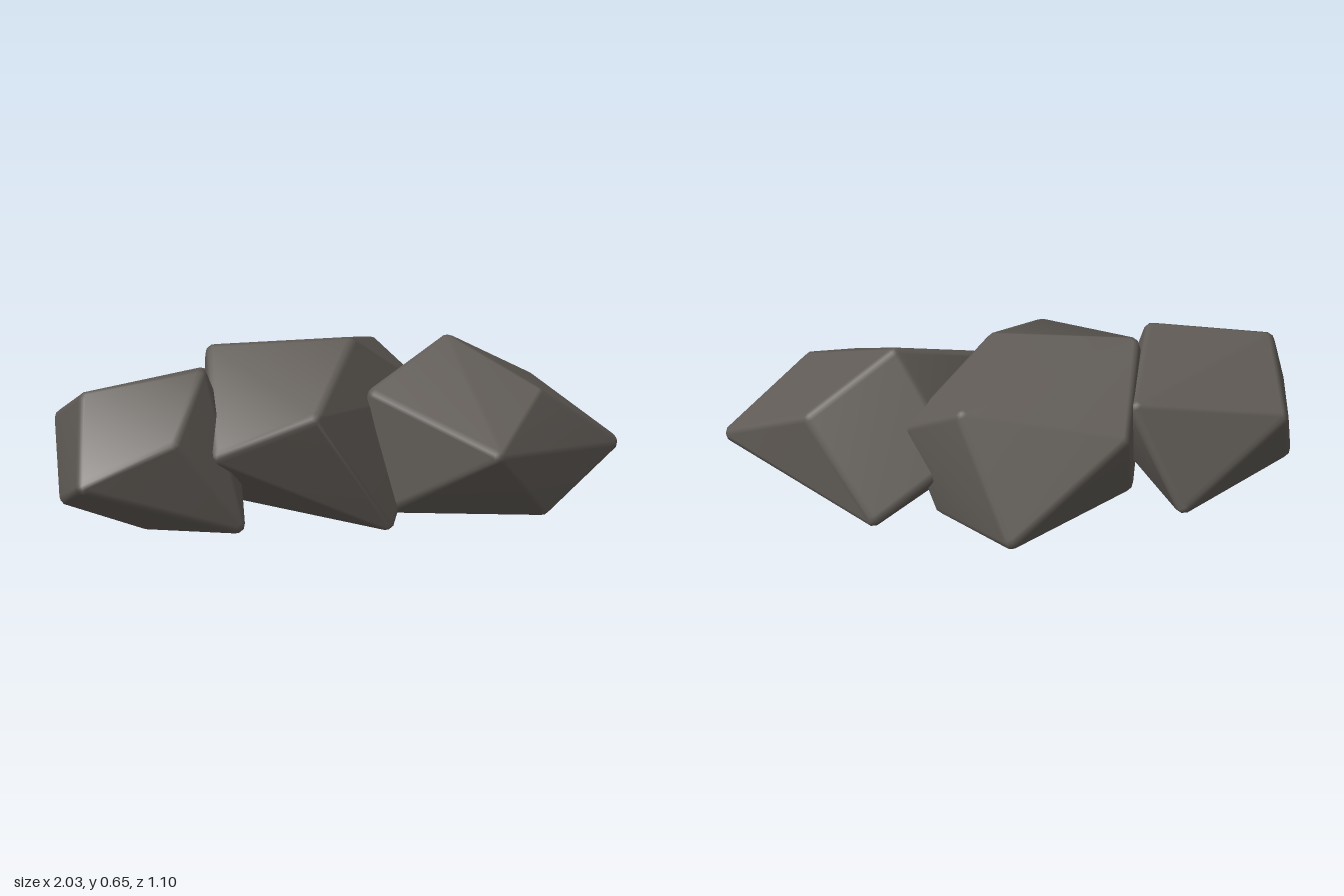
import * as THREE from 'three';
import { ConvexGeometry } from 'three/addons/geometries/ConvexGeometry.js';
import { mergeVertices } from 'three/addons/utils/BufferGeometryUtils.js';

const BEVEL = 0.035;

// Convex boulder with rounded corners: the hull of a small ball set inside each corner
function boulder(name, corners, material) {
  const points = corners.map((c) => new THREE.Vector3(...c));
  const centre = new THREE.Vector3();
  points.forEach((p) => centre.addScaledVector(p, 1 / points.length));

  const ball = mergeVertices(new THREE.IcosahedronGeometry(BEVEL, 1).deleteAttribute('uv').deleteAttribute('normal'));
  const ballPos = ball.getAttribute('position');
  const cloud = [];
  for (const p of points) {
    const inset = p.clone().addScaledVector(centre.clone().sub(p).normalize(), BEVEL * 1.05);
    for (let i = 0; i < ballPos.count; i++) {
      cloud.push(new THREE.Vector3().fromBufferAttribute(ballPos, i).add(inset));
    }
  }

  // Area-weighted normals keep the facets flat and the bevels soft
  const hull = new ConvexGeometry(cloud);
  hull.deleteAttribute('normal');
  const geometry = mergeVertices(hull, 1e-5);
  geometry.computeVertexNormals();

  const mesh = new THREE.Mesh(geometry, material);
  mesh.name = name;
  return mesh;
}

export function createModel() {
  const group = new THREE.Group();
  group.name = 'rockCluster';
  const stone = new THREE.MeshStandardMaterial({ color: 0x605b56 });
  stone.name = 'dark stone';

  // Boulder on the +x side
  group.add(boulder('leftBoulder', [
    [1.01, 0.22, 0.13], [0.41, 0.615, -0.02], [0.50, 0.30, 0.545], [0.75, 0.41, -0.14],
    [0.71, 0.46, 0.26], [0.71, 0.035, 0.35], [0.52, 0.065, -0.31], [0.09, 0.47, 0.18],
    [0.15, 0.045, 0.24], [0.20, 0.25, -0.20], [0.05, 0.20, 0.02],
  ], stone));

  // Large boulder in the middle
  group.add(boulder('middleBoulder', [
    [0.06, 0.635, 0.04], [-0.46, 0.61, -0.02], [-0.16, 0.45, 0.44], [0.22, 0.515, -0.36],
    [-0.39, 0.40, -0.39], [0.05, 0.08, -0.55], [0.39, 0.36, -0.15], [0.14, 0.0, 0.32],
    [-0.51, 0.30, 0.34], [-0.43, 0.055, -0.10], [0.28, 0.05, -0.20],
  ], stone));

  // Boulder on the -x side
  group.add(boulder('rightBoulder', [
    [-0.96, 0.51, 0.16], [-0.51, 0.575, 0.16], [-0.67, 0.38, 0.45], [-1.01, 0.22, 0.38],
    [-1.01, 0.09, 0.04], [-0.74, 0.03, 0.27], [-0.41, 0.035, 0.37], [-0.98, 0.35, -0.18],
    [-0.59, 0.08, -0.34], [-0.42, 0.46, -0.26], [-0.35, 0.25, 0.0],
  ], stone));

  return group;
}
